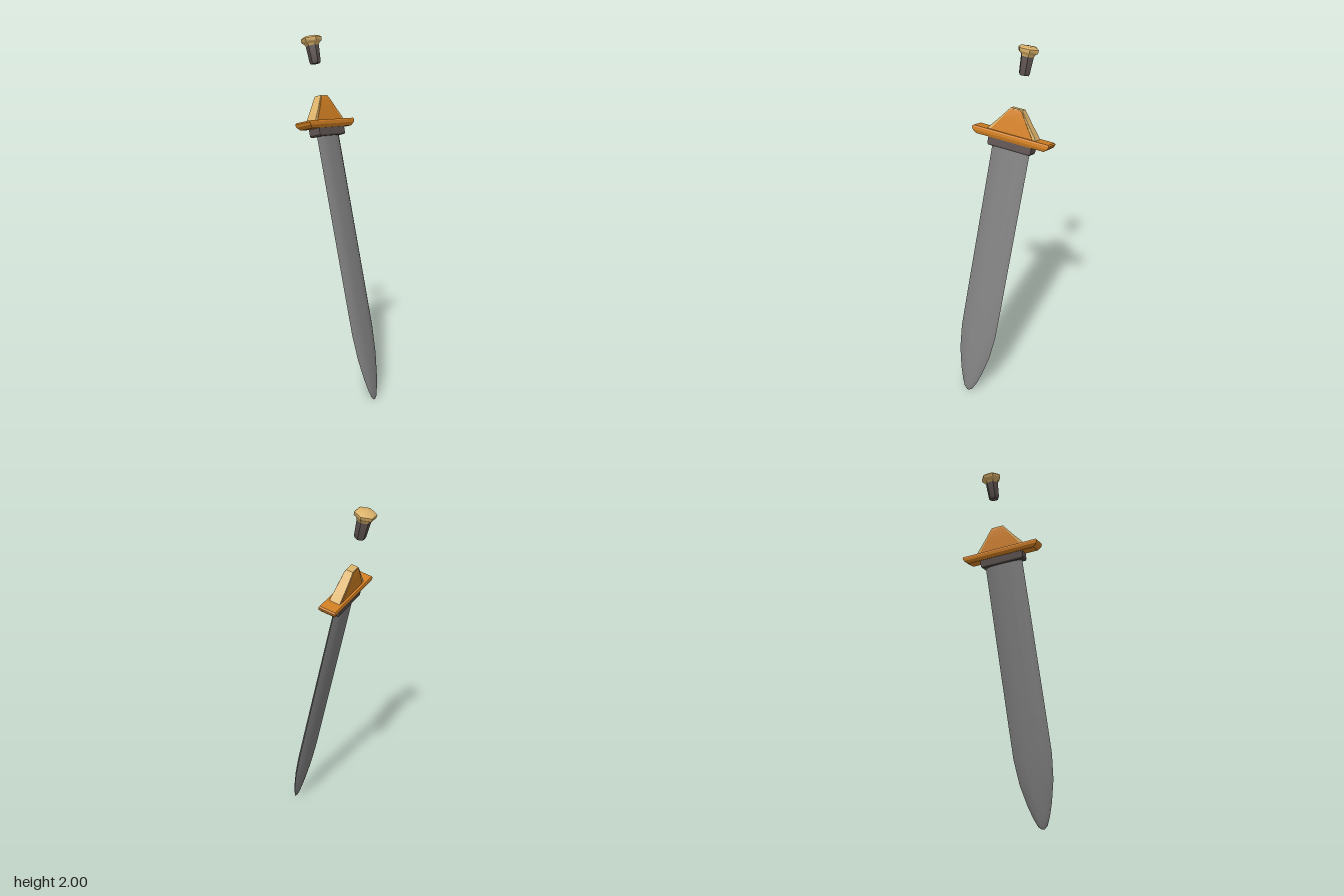
import * as THREE from 'three';
import { toCreasedNormals } from 'three/addons/utils/BufferGeometryUtils.js';

const mat = (name, color) => {
  const m = new THREE.MeshStandardMaterial({ color });
  m.name = name;
  return m;
};

// Skin a stack of closed loops; each section is { y, pts: [[x, z], ...] }.
function loft(sections, crease = 0.7) {
  const n = sections[0].pts.length, pos = [], idx = [];
  for (const { y, pts } of sections) for (const [x, z] of pts) pos.push(x, y, z);
  for (let j = 0; j < sections.length - 1; j++) {
    for (let i = 0; i < n; i++) {
      const a = j * n + i, b = j * n + (i + 1) % n;
      idx.push(a, a + n, b, b, a + n, b + n);
    }
  }
  const top = (sections.length - 1) * n;
  for (let i = 1; i < n - 1; i++) {
    idx.push(0, i, i + 1, top, top + i + 1, top + i);
  }
  const g = new THREE.BufferGeometry();
  g.setAttribute('position', new THREE.Float32BufferAttribute(pos, 3));
  g.setIndex(idx);
  return toCreasedNormals(g, crease);
}

const rect = (x, z) => [[x, -z], [x, z], [-x, z], [-x, -z]];
// Flat-sided section with pointed edges at both ends of z.
const lens = (w, t) => [
  [t, -0.3 * w], [t, 0.3 * w], [t * 0.8, 0.72 * w], [0, w], [-t * 0.8, 0.72 * w],
  [-t, 0.3 * w], [-t, -0.3 * w], [-t * 0.8, -0.72 * w], [0, -w], [t * 0.8, -0.72 * w],
];
const box = (rows) => rows.map(([y, x, z]) => ({ y, pts: rect(x, z) }));

export function createModel() {
  const steel = mat('steel', 0x808080);
  const grip = mat('dark grip', 0x5c5250);
  const orange = mat('orange', 0xd28023);
  const tan = mat('tan', 0xdcb26a);

  // The sword is built upright, tip at the origin, then twisted and tilted.
  const sword = new THREE.Group();
  sword.name = 'sword';
  const add = (name, geometry, material) => {
    const m = new THREE.Mesh(geometry, material);
    m.name = name;
    sword.add(m);
  };

  // Blade: height, half width, half thickness
  const blade = [
    [0, 0.008, 0.003], [0.015, 0.026, 0.007], [0.06, 0.046, 0.011], [0.13, 0.069, 0.016],
    [0.25, 0.097, 0.021], [0.39, 0.111, 0.023], [0.6, 0.112, 0.023], [1.53, 0.112, 0.02],
  ];
  add('blade', loft(blade.map(([y, w, t]) => ({ y, pts: lens(w, t) }))), steel);

  // Collar under the guard
  add('collar', loft(box([[1.497, 0.03, 0.122], [1.505, 0.034, 0.128], [1.55, 0.034, 0.128]]), 0.3), grip);

  // Cross guard with an undercut lower edge
  add('guard', loft(box([
    [1.542, 0.038, 0.2], [1.56, 0.047, 0.222], [1.576, 0.048, 0.228], [1.584, 0.044, 0.222],
  ]), 0.3), orange);

  // Crest: tan frame with orange panels standing just proud of both faces
  const crest = [
    [1.58, 0.03, 0.146], [1.598, 0.029, 0.134], [1.65, 0.026, 0.09],
    [1.705, 0.022, 0.047], [1.722, 0.019, 0.034],
  ];
  add('crestFrame', loft(box(crest)), tan);
  add('crestPanels', loft(box(crest.map(([y, x, z], i) =>
    [i === 4 ? 1.716 : y, x + 0.003, z * 0.86]))), orange);

  // Handle stub
  const lathe = (pts, crease) => toCreasedNormals(
    new THREE.LatheGeometry(pts.map(([x, y]) => new THREE.Vector2(x, y)), 6), crease);
  add('handleStub', lathe([[0, 1.9], [0.026, 1.9], [0.031, 1.91], [0.037, 2.005], [0, 2.005]], 0.6), grip);

  // Six-sided pommel cap
  add('pommel', lathe([
    [0, 1.998], [0.036, 1.998], [0.042, 2.012], [0.056, 2.022], [0.058, 2.04], [0.046, 2.05], [0, 2.054],
  ], 0.8), tan);

  sword.rotation.set(0, 0.255, 0.252, 'ZYX');
  sword.position.set(0.28, 0.002, 0);

  const root = new THREE.Group();
  root.name = 'model';
  root.add(sword);
  return root;
}
